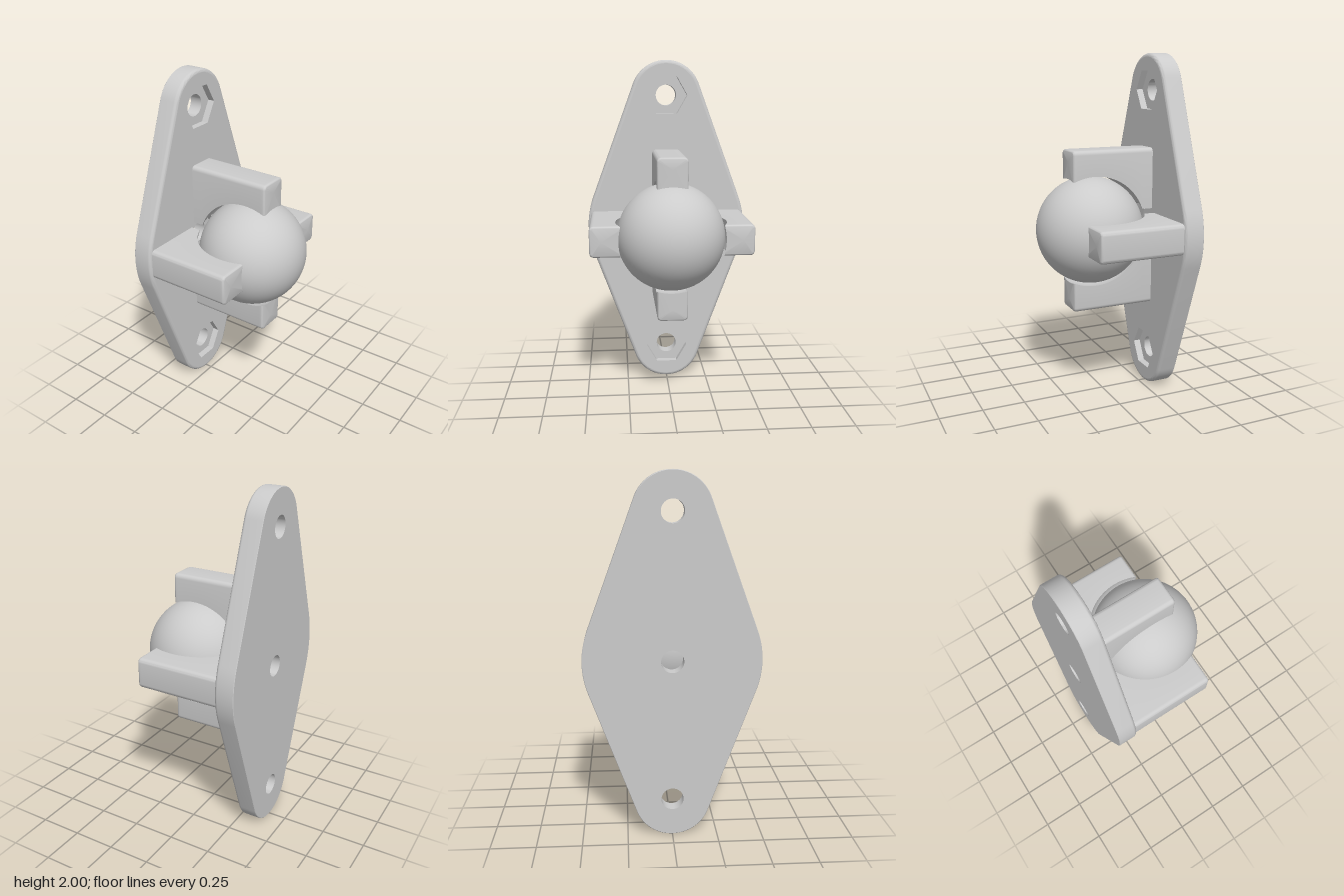
import * as THREE from 'three';
import { toCreasedNormals } from 'three/addons/utils/BufferGeometryUtils.js';

const grey = new THREE.MeshStandardMaterial({ color: 0xcccccc });
const CY = 1.003; // height of the ball axis
const BACK = -0.395, FRONT = -0.28, POCKET = -0.32; // plate faces and nut pocket floor
const BALL_X = 0.08;

function mesh(name, geometry, crease = 0.6) {
  const m = new THREE.Mesh(toCreasedNormals(geometry, crease), grey);
  m.name = name;
  return m;
}

// Joins closed rings of points; an optional tip point closes the last ring.
function loft(rings, tip) {
  const n = rings[0].length, index = [];
  const points = rings.flat();
  for (let i = 0; i < rings.length - 1; i++) {
    for (let j = 0; j < n; j++) {
      const k = (j + 1) % n, a = i * n + j, b = i * n + k;
      index.push(a, b, b + n, a, b + n, a + n);
    }
  }
  if (tip) {
    const last = (rings.length - 1) * n;
    points.push(tip);
    for (let j = 0; j < n; j++) index.push(last + j, last + ((j + 1) % n), points.length - 1);
  }
  const g = new THREE.BufferGeometry().setFromPoints(points);
  g.setIndex(index);
  return g;
}

// Rounded diamond outline: tangent hull of one large and two small circles.
function outline(inset) {
  const a = Math.asin((0.483 - 0.21) / 0.79);
  const arcs = [
    [1, 0.483, -a, a, 12], [1.79, 0.21, a, Math.PI - a, 28],
    [1, 0.483, Math.PI - a, Math.PI + a, 12], [0.21, 0.21, Math.PI + a, 2 * Math.PI - a, 28],
  ];
  const pts = [];
  for (const [cy, r, from, to, n] of arcs) {
    for (let i = 0; i <= n; i++) {
      const t = from + (to - from) * i / n;
      pts.push(new THREE.Vector2((r - inset) * Math.cos(t), cy + (r - inset) * Math.sin(t)));
    }
  }
  return pts;
}

function polygonHole(cy, r, sides) {
  const pts = [];
  for (let i = 0; i < sides; i++) {
    const t = -i / sides * Math.PI * 2;
    pts.push(new THREE.Vector2(r * Math.cos(t), cy + r * Math.sin(t)));
  }
  return new THREE.Path(pts);
}

function plateLayer(name, x0, x1, r, sides) {
  const shape = new THREE.Shape(outline(0.02));
  for (const dy of [-0.79, 0, 0.79]) shape.holes.push(polygonHole(CY + dy, r, sides));
  const g = new THREE.ExtrudeGeometry(shape, { depth: x1 - x0, bevelEnabled: false });
  g.rotateY(Math.PI / 2).translate(x0, 0, 0);
  return mesh(name, g);
}

// Rim of the plate with a rounded front edge.
function plateRim() {
  const f = 0.02;
  const profile = [[f, BACK], [0.003, BACK], [0, BACK + 0.003]];
  for (let i = 0; i <= 6; i++) {
    const t = i / 6 * Math.PI / 2;
    profile.push([f * (1 - Math.cos(t)), FRONT - f + f * Math.sin(t)]);
  }
  return mesh('plateRim', loft(profile.map(([inset, x]) =>
    outline(inset).map(p => new THREE.Vector3(x, p.y, -p.x)))));
}

// One socket finger, hollowed by the ball cavity and a round neck recess.
function fingerGeometry() {
  const tipX = 0.212, f = 0.014, corner = 0.025;
  const stations = [];
  for (let i = 0; i <= 40; i++) stations.push([-0.29 + (tipX - f + 0.29) * i / 40, 0]);
  for (let i = 1; i <= 5; i++) {
    const t = i / 5 * Math.PI / 2;
    stations.push([tipX - f + f * Math.sin(t), f * (1 - Math.cos(t))]);
  }
  const rings = stations.map(([x, inset]) => {
    const w = 0.088 - inset, top = 0.465 - inset, c = corner - inset;
    const cavity = Math.max(0.142 ** 2, 0.33 ** 2 - (x - BALL_X) ** 2);
    const ring = [];
    for (let i = 0; i <= 12; i++) {
      const u = -w + 2 * w * i / 12;
      ring.push(new THREE.Vector3(x, Math.sqrt(cavity - u * u), -u));
    }
    for (const [side, start] of [[1, 0], [-1, Math.PI / 2]]) {
      for (let i = 0; i <= 5; i++) {
        const t = start + i / 5 * Math.PI / 2;
        ring.push(new THREE.Vector3(x, top - c + c * Math.sin(t), -(side * (w - c) + c * Math.cos(t))));
      }
    }
    return ring;
  });
  return loft(rings, new THREE.Vector3(tipX, 0.4, 0));
}

export function createModel() {
  const model = new THREE.Group();
  model.name = 'ballSocketMount';

  // Mounting plate: drilled back layer, nut pockets in front, rounded rim
  const plate = new THREE.Group();
  plate.name = 'mountingPlate';
  plate.add(
    plateLayer('plateBack', BACK, POCKET, 0.062, 40),
    plateLayer('plateFront', POCKET, FRONT, 0.127, 6),
    plateRim(),
  );
  model.add(plate);

  // Four fingers around the ball
  const fingers = new THREE.Group();
  fingers.name = 'socketFingers';
  fingers.position.y = CY;
  const finger = fingerGeometry();
  for (let i = 0; i < 4; i++) {
    const m = mesh('finger', finger);
    m.rotation.x = i * Math.PI / 2;
    fingers.add(m);
  }
  model.add(fingers);

  // Ball, with its poles along the socket axis
  const ball = new THREE.Mesh(new THREE.SphereGeometry(0.31, 72, 40), grey);
  ball.name = 'ball';
  ball.rotation.z = -Math.PI / 2;
  ball.position.set(BALL_X, CY, 0);
  model.add(ball);

  return model;
}
